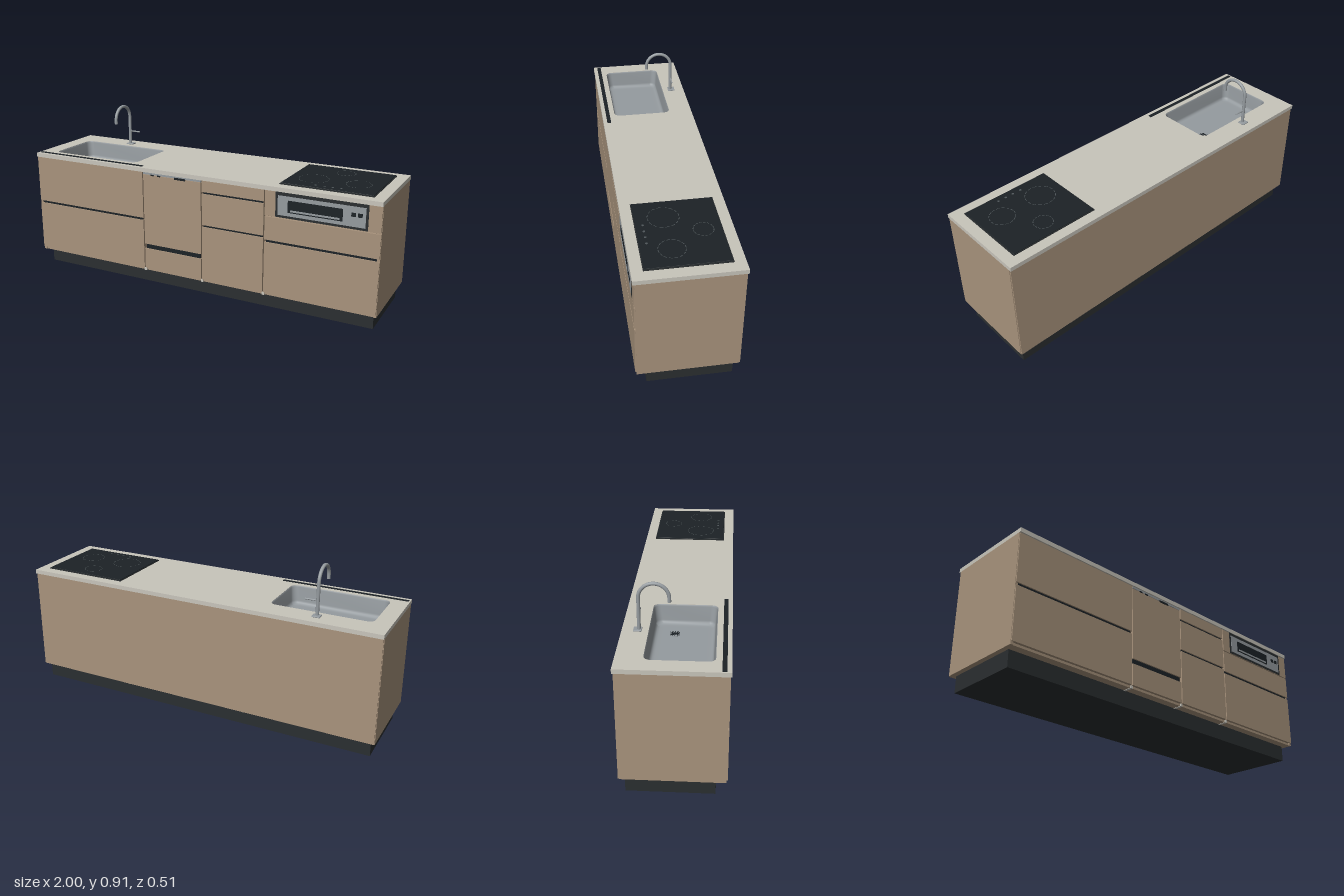
import * as THREE from 'three';
import { RoundedBoxGeometry } from 'three/addons/geometries/RoundedBoxGeometry.js';

const mat = (color, extra = {}) => new THREE.MeshStandardMaterial({ color, ...extra });
const wood = mat(0xa8937c), seam = mat(0x66584a), stone = mat(0xc8c5bb), dark = mat(0x2a2e30);
const black = mat(0x1c2226), steel = mat(0x959b9f), mark = mat(0x50575b);
const basinSteel = mat(0x959b9f, { side: THREE.DoubleSide });

// Outline of a rounded rectangle, counter-clockwise
function roundedRect(cx, cy, w, h, r, n = 6) {
  const pts = [];
  [[1, 1], [-1, 1], [-1, -1], [1, -1]].forEach(([sx, sy], k) => {
    for (let i = 0; i <= n; i++) {
      const a = (k + i / n) * Math.PI / 2;
      pts.push(new THREE.Vector2(
        cx + sx * (w / 2 - r) + r * Math.cos(a),
        cy + sy * (h / 2 - r) + r * Math.sin(a)));
    }
  });
  return pts;
}

// Basin skin: outlines shrinking downwards, closed by a centre point
function basinGeometry(cx, cz, w, d, levels) {
  const pos = [], idx = [];
  let n = 0;
  for (const [inset, y, r] of levels) {
    const ring = roundedRect(cx, -cz, w - 2 * inset, d - 2 * inset, r);
    n = ring.length;
    ring.forEach(p => pos.push(p.x, y, -p.y));
  }
  const last = levels.length - 1;
  for (let l = 0; l < last; l++) {
    for (let i = 0; i < n; i++) {
      const a = l * n + i, b = l * n + (i + 1) % n;
      idx.push(a, a + n, b, b, a + n, b + n);
    }
  }
  pos.push(cx, levels[last][1], cz);
  for (let i = 0; i < n; i++) idx.push(last * n + i, (last + 1) * n, last * n + (i + 1) % n);
  const g = new THREE.BufferGeometry();
  g.setAttribute('position', new THREE.Float32BufferAttribute(pos, 3));
  g.setIndex(idx);
  g.computeVertexNormals();
  return g;
}

export function createModel() {
  const model = new THREE.Group();
  model.name = 'kitchenCounter';

  const add = (name, geometry, material, x = 0, y = 0, z = 0) => {
    const m = new THREE.Mesh(geometry, material);
    m.name = name;
    m.position.set(x, y, z);
    model.add(m);
    return m;
  };
  // Box given by its limits on each axis
  const box = (name, material, x0, x1, y0, y1, z0, z1) =>
    add(name, new THREE.BoxGeometry(x1 - x0, y1 - y0, z1 - z0), material,
      (x0 + x1) / 2, (y0 + y1) / 2, (z0 + z1) / 2);

  // Plinth and hollow carcass
  box('plinth', dark, -0.975, 0.975, 0, 0.086, -0.22, 0.196);
  for (const s of [-1, 1]) {
    box('sidePanel', wood, Math.min(s, s * 0.985), Math.max(s, s * 0.985), 0.085, 0.646, -0.243, 0.244);
  }
  box('backPanel', wood, -0.997, 0.997, 0.085, 0.646, -0.249, -0.235);
  box('carcassFloor', wood, -0.985, 0.985, 0.085, 0.097, -0.235, 0.24);
  box('carcassFront', seam, -0.985, 0.985, 0.097, 0.646, 0.22, 0.237);

  // Fronts: each column lists the bottom and top of its panels
  const columns = [
    [-0.998, -0.297, [[0.1, 0.373], [0.387, 0.644]]],
    [-0.291, 0.055, [[0.1, 0.214], [0.241, 0.632]]],
    [0.061, 0.407, [[0.1, 0.394], [0.405, 0.573], [0.584, 0.644]]],
    [0.413, 0.998, [[0.1, 0.373], [0.387, 0.509], [0.514, 0.644]]],
  ];
  for (const [x0, x1, rows] of columns) {
    for (const [y0, y1] of rows) box('frontPanel', wood, x0, x1, y0, y1, 0.237, 0.25);
    rows.slice(1).forEach(([y], i) => {
      const below = rows[i][1];
      if (y - below > 0.006) box('gripGroove', black, x0 + 0.007, x1 - 0.007, below, y, 0.236, 0.243);
    });
  }
  for (const x of [-0.294, 0.058, 0.41]) {
    box('dividerFoot', stone, x - 0.007, x + 0.007, 0.083, 0.097, -0.247, 0.246);
  }

  // Dishwasher control strip
  box('dishwasherStrip', steel, -0.291, 0.055, 0.634, 0.645, 0.237, 0.25);
  box('dishwasherDisplay', black, -0.1, -0.035, 0.627, 0.638, 0.245, 0.252);
  for (const x of [-0.235, -0.195]) box('dishwasherButton', black, x - 0.01, x + 0.01, 0.629, 0.636, 0.245, 0.252);

  // Grill oven
  box('ovenFrame', dark, 0.47, 0.935, 0.516, 0.645, 0.24, 0.252);
  box('ovenFace', steel, 0.482, 0.923, 0.528, 0.628, 0.245, 0.2535);
  box('ovenWindow', black, 0.535, 0.812, 0.546, 0.608, 0.25, 0.2545);
  box('ovenHandle', steel, 0.55, 0.797, 0.552, 0.561, 0.25, 0.257);
  for (const x of [0.864, 0.896]) box('ovenKnob', black, x - 0.011, x + 0.011, 0.578, 0.597, 0.25, 0.256);

  // Worktop with the sink cut-out
  const sink = { x: -0.647, z: 0.0275, w: 0.534, d: 0.315, r: 0.032 };
  const top = new THREE.Shape([[-1, -0.255], [1, -0.255], [1, 0.255], [-1, 0.255]].map(p => new THREE.Vector2(...p)));
  top.holes.push(new THREE.Path(roundedRect(sink.x, -sink.z, sink.w, sink.d, sink.r)));
  const topGeometry = new THREE.ExtrudeGeometry(top, { depth: 0.022, bevelEnabled: false });
  topGeometry.rotateX(-Math.PI / 2);
  add('worktop', topGeometry, stone, 0, 0.646, 0);
  box('frontSlot', black, -0.992, -0.308, 0.66, 0.669, 0.213, 0.234);

  // Sink basin
  add('sinkBasin', basinGeometry(sink.x, sink.z, sink.w, sink.d, [
    [0, 0.667, 0.032], [0.004, 0.66, 0.032], [0.01, 0.587, 0.032], [0.013, 0.576, 0.032],
    [0.021, 0.569, 0.027], [0.032, 0.567, 0.02], [0.05, 0.567, 0.01],
  ]), basinSteel);

  // Drain with a crossed grate
  add('drain', new THREE.CylinderGeometry(0.024, 0.024, 0.004, 24), steel, -0.5, 0.568, -0.02);
  for (let i = -1; i <= 1; i++) {
    box('drainBar', black, -0.5 + i * 0.012 - 0.002, -0.5 + i * 0.012 + 0.002, 0.568, 0.572, -0.042, 0.002);
    box('drainBar', black, -0.522, -0.478, 0.568, 0.572, -0.02 + i * 0.012 - 0.002, -0.02 + i * 0.012 + 0.002);
  }

  // Faucet: upright pole, half-circle neck and short drop
  const fx = -0.648, fz = -0.175, bend = 0.0705, bendY = 0.833;
  const neck = new THREE.CurvePath();
  const v = (y, z) => new THREE.Vector3(fx, y, z);
  neck.add(new THREE.LineCurve3(v(0.67, fz), v(bendY, fz)));
  const arc = [];
  for (let i = 0; i <= 16; i++) {
    const a = Math.PI * i / 16;
    arc.push(v(bendY + bend * Math.sin(a), fz + bend * (1 - Math.cos(a))));
  }
  neck.add(new THREE.CatmullRomCurve3(arc));
  neck.add(new THREE.LineCurve3(v(bendY, fz + 2 * bend), v(0.815, fz + 2 * bend)));
  add('faucetNeck', new THREE.TubeGeometry(neck, 80, 0.0088, 16), steel);
  add('faucetOutlet', new THREE.CylinderGeometry(0.009, 0.009, 0.006, 16), steel, fx, 0.817, fz + 2 * bend);
  add('faucetBase', new RoundedBoxGeometry(0.042, 0.007, 0.04, 2, 0.003), steel, fx, 0.6705, -0.181);
  const lever = add('faucetLever', new THREE.CylinderGeometry(0.0042, 0.0042, 0.065, 12), steel, fx + 0.0325, 0.747, fz);
  lever.rotation.z = Math.PI / 2;

  // Cooktop with dashed heating zones and touch marks
  box('cooktopRim', dark, 0.466, 0.942, 0.666, 0.672, -0.201, 0.201);
  add('cooktopGlass', new RoundedBoxGeometry(0.468, 0.01, 0.394, 2, 0.002), black, 0.704, 0.671, 0);
  for (const [x, z, r] of [[0.706, -0.11, 0.048], [0.594, 0.06, 0.075], [0.823, 0.055, 0.063]]) {
    for (let i = 0; i < 16; i++) {
      const dash = new THREE.RingGeometry(r - 0.0015, r + 0.0015, 4, 1, i * Math.PI / 8, Math.PI / 12);
      dash.rotateX(-Math.PI / 2);
      add('heatingZone', dash, mark, x, 0.6768, z);
    }
  }
  for (const x of [0.64, 0.685, 0.727, 0.77]) {
    add('touchMark', new THREE.CylinderGeometry(0.006, 0.006, 0.002, 16), mark, x, 0.676, 0.162);
  }

  return model;
}
